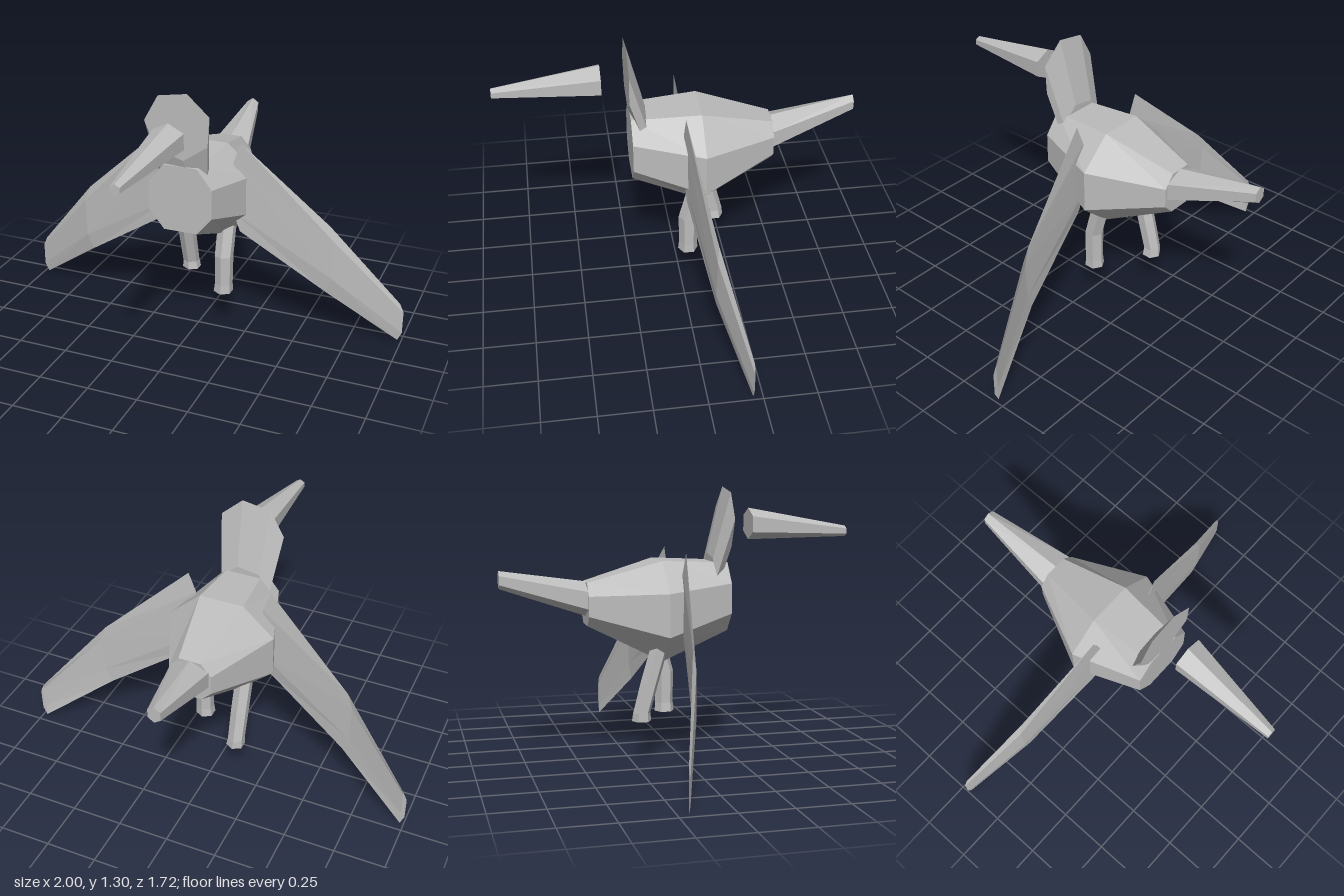
import * as THREE from 'three';

const grey = new THREE.MeshStandardMaterial({ color: 0xbcbcbc, flatShading: true, side: THREE.DoubleSide });
grey.name = 'plain grey';

// Closed faceted tube through rings of [x, y, z] points, capped at both ends
function loft(name, rings) {
  const pos = [];
  const n = rings[0].length;
  const tri = (a, b, c) => pos.push(...a, ...b, ...c);
  for (let r = 0; r < rings.length - 1; r++) {
    for (let i = 0; i < n; i++) {
      const j = (i + 1) % n;
      tri(rings[r][i], rings[r][j], rings[r + 1][j]);
      tri(rings[r][i], rings[r + 1][j], rings[r + 1][i]);
    }
  }
  const last = rings[rings.length - 1];
  for (let i = 1; i < n - 1; i++) {
    tri(rings[0][0], rings[0][i + 1], rings[0][i]);
    tri(last[0], last[i], last[i + 1]);
  }
  // Turn the shell outward when its enclosed volume is negative
  let volume = 0;
  const v = [0, 1, 2].map(() => new THREE.Vector3());
  for (let i = 0; i < pos.length; i += 9) {
    v.forEach((p, k) => p.fromArray(pos, i + k * 3));
    volume += v[0].dot(v[1].clone().cross(v[2]));
  }
  if (volume < 0) {
    for (let i = 0; i < pos.length; i += 9) {
      for (let k = 0; k < 3; k++) {
        [pos[i + 3 + k], pos[i + 6 + k]] = [pos[i + 6 + k], pos[i + 3 + k]];
      }
    }
  }
  const geometry = new THREE.BufferGeometry();
  geometry.setAttribute('position', new THREE.Float32BufferAttribute(pos, 3));
  geometry.computeVertexNormals();
  const mesh = new THREE.Mesh(geometry, grey);
  mesh.name = name;
  return mesh;
}

// Regular ring facing z, starting at a given angle in degrees
function ringZ(sides, start, x, y, z, rx, ry = rx) {
  return Array.from({ length: sides }, (_, i) => {
    const a = THREE.MathUtils.degToRad(start) + (i / sides) * Math.PI * 2;
    return [x + rx * Math.cos(a), y + ry * Math.sin(a), z];
  });
}

// Six-sided level ring for the legs
function ringY(x, y, z, r) {
  return Array.from({ length: 6 }, (_, i) => {
    const a = (i / 6) * Math.PI * 2 + Math.PI / 6;
    return [x + r * Math.cos(a), y, z + r * Math.sin(a)];
  });
}

// Eight-sided body section: side half width, top half width, four heights
function bodyRing(z, w, a, top, high, low, bottom) {
  return [[a, top, z], [w, high, z], [w, low, z], [a, bottom, z],
    [-a, bottom, z], [-w, low, z], [-w, high, z], [-a, top, z]];
}

// Flat lens-shaped wing section from leading point to trailing point
function wingRing(side, lead, trail, bulge, t) {
  const at = (f, dx, dz) => [
    side * (THREE.MathUtils.lerp(lead[0], trail[0], f) + dx),
    THREE.MathUtils.lerp(lead[1], trail[1], f),
    THREE.MathUtils.lerp(lead[2], trail[2], f) + dz,
  ];
  return [at(0, 0, 0), at(0.22, bulge, t), at(0.78, bulge, t),
    at(1, 0, 0), at(0.78, bulge, -t), at(0.22, bulge, -t)];
}

export function createModel() {
  const model = new THREE.Group();
  model.name = 'bird';

  model.add(loft('body', [
    bodyRing(0.23, 0.158, 0.083, 0.945, 0.85, 0.705, 0.615),
    bodyRing(-0.1, 0.265, 0.11, 0.96, 0.82, 0.615, 0.48),
    bodyRing(-0.45, 0.105, 0.055, 0.86, 0.80, 0.705, 0.655),
  ]));

  // Neck rises from inside the body and ends in a flat face
  model.add(loft('head', [
    ringZ(7, 22.5, -0.005, 0.86, 0.158, 0.13),
    ringZ(7, 22.5, -0.005, 1.145, 0.24, 0.166),
  ]));

  // Beak floats ahead of the face
  model.add(loft('beak', [
    ringZ(6, 30, 0, 1.125, 0.36, 0.087, 0.077),
    ringZ(6, 30, -0.02, 1.083, 0.86, 0.026, 0.026),
  ]));

  model.add(loft('tail', [
    ringZ(6, 30, 0, 0.78, -0.45, 0.106, 0.083),
    ringZ(6, 30, -0.03, 0.882, -0.86, 0.035, 0.042),
  ]));

  for (const [side, name] of [[1, 'leftWing'], [-1, 'rightWing']]) {
    model.add(loft(name, [
      wingRing(side, [0.21, 1.005, -0.01], [0.21, 0.545, -0.015], -0.035, 0.006),
      wingRing(side, [0.64, 0.61, -0.095], [0.63, 0.26, -0.09], 0.03, 0.007),
      wingRing(side, [0.98, 0.205, -0.205], [0.98, 0.0, -0.205], 0.02, 0.001),
    ]));
  }

  // Legs caught mid-stride, each with a slightly flared foot
  model.add(loft('leftLeg', [
    ringY(0.12, 0.19, -0.035, 0.049),
    ringY(0.122, 0.235, -0.035, 0.045),
    ringY(0.122, 0.39, -0.035, 0.047),
    ringY(0.122, 0.58, -0.085, 0.047),
  ]));
  model.add(loft('rightLeg', [
    ringY(-0.12, 0.2, -0.205, 0.047),
    ringY(-0.124, 0.24, -0.205, 0.042),
    ringY(-0.125, 0.39, -0.165, 0.044),
    ringY(-0.127, 0.58, -0.11, 0.044),
  ]));

  return model;
}
